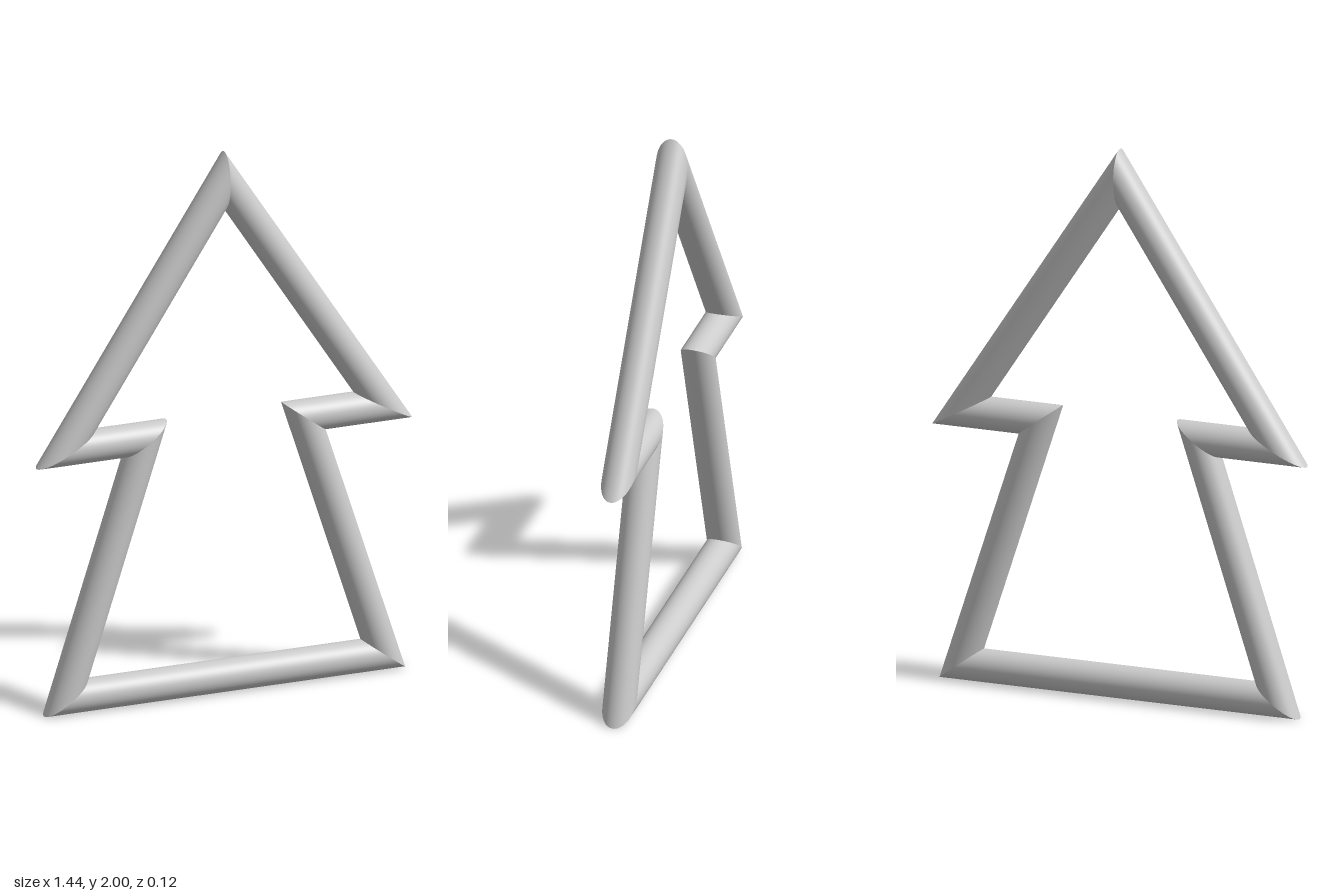
import * as THREE from 'three';

const RADIUS = 0.059;

export function createModel() {
  const group = new THREE.Group();
  group.name = 'treeOutline';
  const material = new THREE.MeshStandardMaterial({ color: 0xcccccc });

  // Centre line of the right-hand half, mirrored into a closed loop
  const half = [[0.61, RADIUS], [0.305, 0.979], [0.61, 0.979]];
  const path = [
    ...half,
    [0, 1.893],
    ...half.map(([x, y]) => [-x, y]).reverse(),
  ].map(([x, y]) => new THREE.Vector2(x, y));
  const names = ['leftTrunk', 'leftLedge', 'leftBough', 'rightBough', 'rightLedge', 'rightTrunk', 'base'];

  const count = path.length;
  const at = (i) => path[(i + count) % count];
  const direction = (i) => at(i + 1).clone().sub(at(i)).normalize();

  // Round bars, each end slid along its axis onto the mitre plane of the corner
  for (let i = 0; i < count; i++) {
    const a = at(i), b = at(i + 1), d = direction(i);
    const n = new THREE.Vector2(d.y, -d.x);
    const length = a.distanceTo(b);
    const slope = (m) => -n.dot(m) / d.dot(m);
    const startSlope = slope(direction(i - 1).add(d));
    const endSlope = slope(direction(i + 1).add(d));

    const geometry = new THREE.CylinderGeometry(RADIUS, RADIUS, length, 64, 1, true);
    const pos = geometry.attributes.position;
    for (let v = 0; v < pos.count; v++) {
      const y = pos.getY(v);
      pos.setY(v, y + pos.getX(v) * (y > 0 ? endSlope : startSlope));
    }

    const bar = new THREE.Mesh(geometry, material);
    bar.name = names[i];
    bar.position.set((a.x + b.x) / 2, (a.y + b.y) / 2, 0);
    bar.rotation.z = Math.atan2(-d.x, d.y);
    group.add(bar);
  }
  return group;
}
